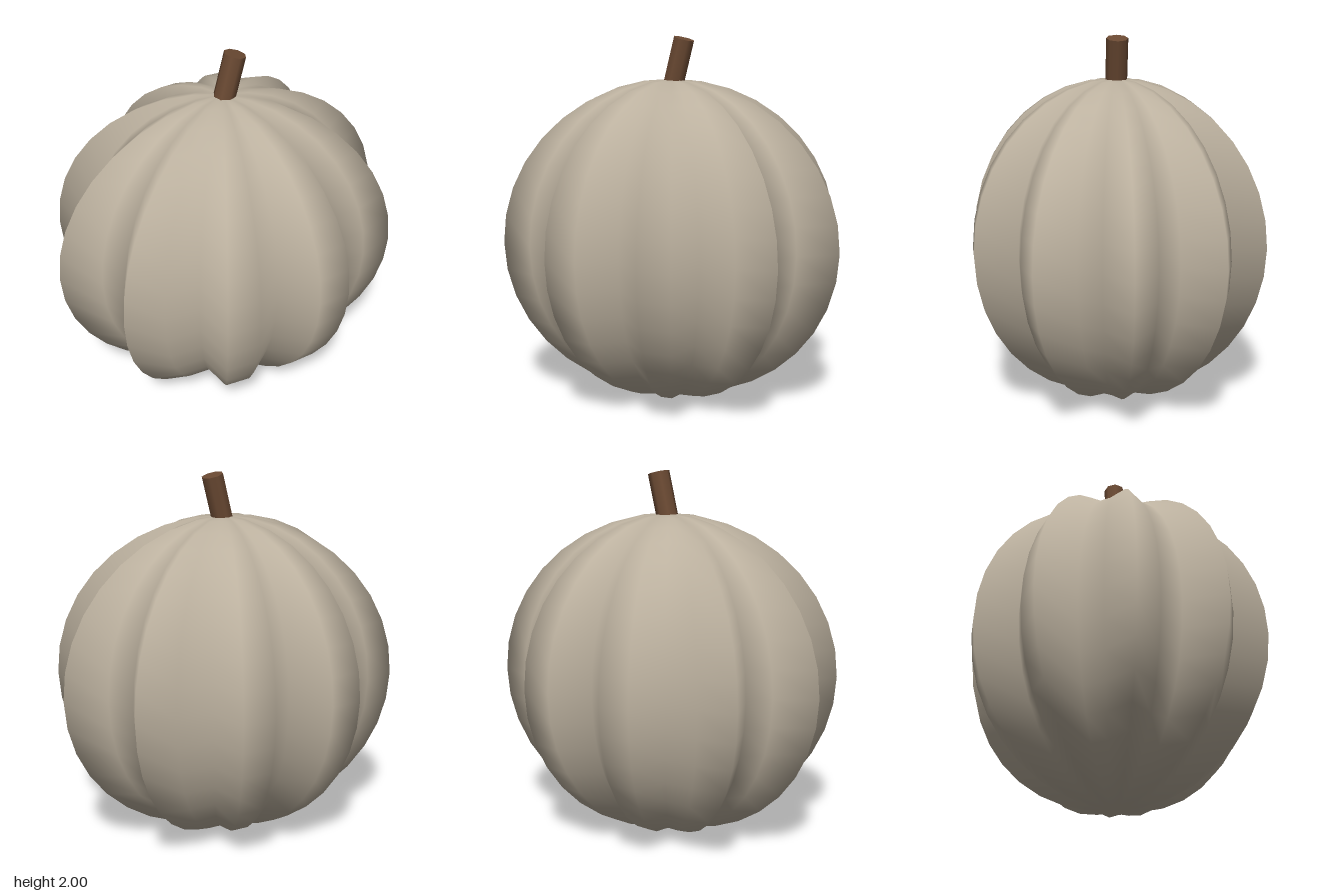
import * as THREE from 'three';
import { mergeVertices } from 'three/addons/utils/BufferGeometryUtils.js';

const LOBES = 10;
const RIB_DEPTH = 0.15;

// Squashed sphere whose horizontal radius swells and shrinks into ribs
function ribbedBody() {
  let geo = new THREE.SphereGeometry(1, 32, 18);
  const pos = geo.attributes.position;
  for (let i = 0; i < pos.count; i++) {
    const x = pos.getX(i), y = pos.getY(i), z = pos.getZ(i);
    const rib = 1 + RIB_DEPTH * Math.cos(LOBES * Math.atan2(z, x));
    pos.setXYZ(i, x * rib * 0.836, y * 0.883, z * rib * 0.757);
  }
  // weld the seam and poles so the shading is continuous
  geo.deleteAttribute('normal');
  geo.deleteAttribute('uv');
  geo = mergeVertices(geo, 1e-4);
  geo.computeVertexNormals();
  return geo;
}

export function createModel() {
  const skin = new THREE.MeshStandardMaterial({ color: 0xbcb19f });
  skin.name = 'pale skin';
  const bark = new THREE.MeshStandardMaterial({ color: 0x6b4a33 });
  bark.name = 'brown stem';

  const model = new THREE.Group();
  model.name = 'gourd';

  const body = new THREE.Mesh(ribbedBody(), skin);
  body.name = 'ribbedBody';
  body.position.y = 0.886;
  model.add(body);

  // Leaning stem, sunk a little into the crown
  const length = 0.3;
  const stemGeo = new THREE.CylinderGeometry(0.059, 0.059, length, 8);
  stemGeo.translate(0, -length / 2, 0);
  const stem = new THREE.Mesh(stemGeo, bark);
  stem.name = 'stem';
  stem.position.set(0.071, 1.985, 0);
  stem.rotation.z = -0.25;
  model.add(stem);

  return model;
}
